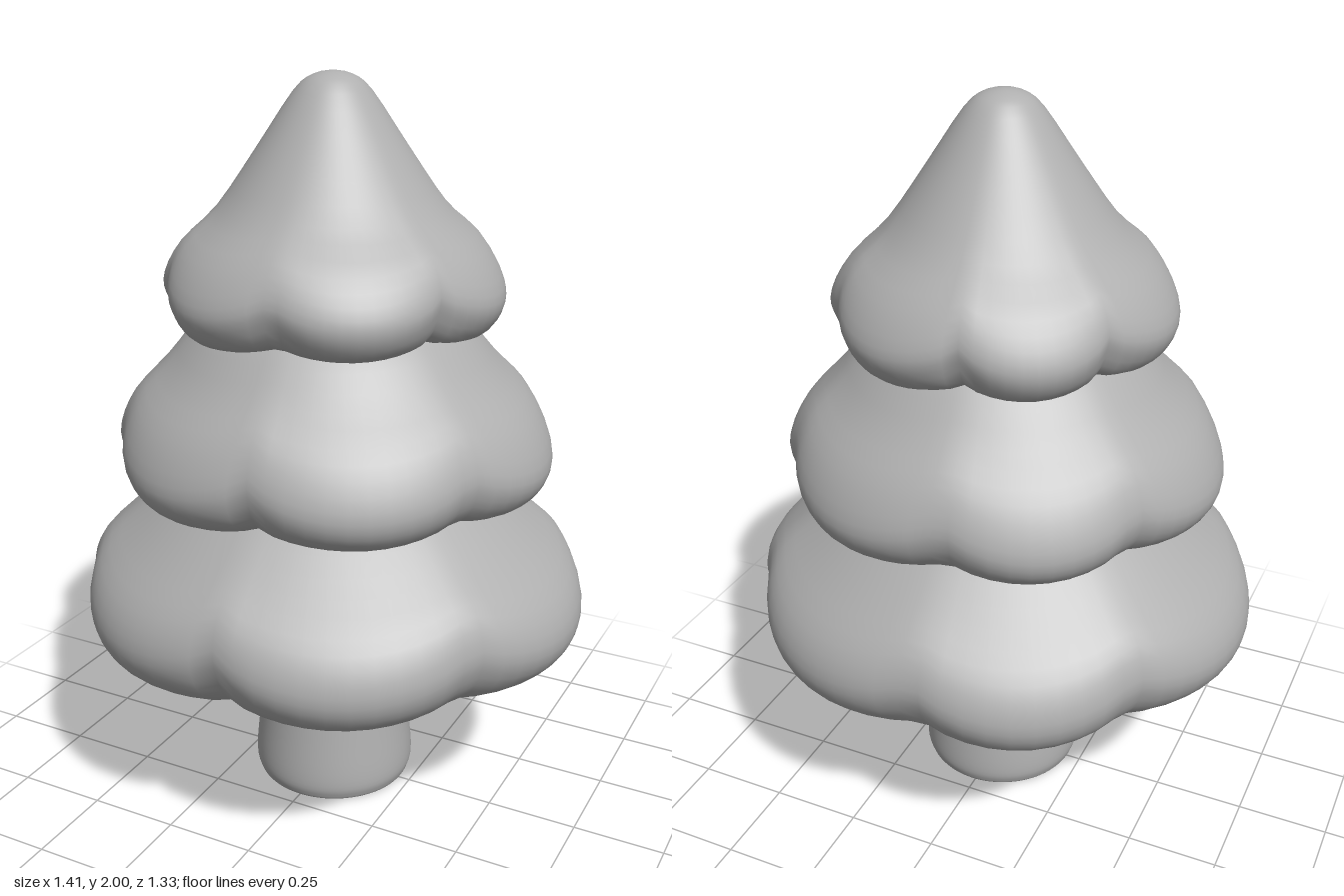
import * as THREE from 'three';
import { mergeVertices } from 'three/addons/utils/BufferGeometryUtils.js';

const grey = new THREE.MeshStandardMaterial({ color: 0xb0b0b0 });
grey.name = 'plainGrey';

// Directions (degrees from +x towards +z) where two snowy lobes meet
const cusps = [-143, -93, -32, 32, 90, 148, 217];

// 0 at a crease between lobes, 1 in the middle of a lobe
function lobe(deg) {
  while (deg < cusps[0]) deg += 360;
  while (deg >= cusps[0] + 360) deg -= 360;
  const i = cusps.findIndex((c, k) => deg >= c && deg < cusps[k + 1]);
  const u = (deg - cusps[i]) / (cusps[i + 1] - cusps[i]);
  return Math.pow(Math.max(0, Math.sin(Math.PI * u)), 0.7);
}

// Smooth lathe from a bottom-to-top profile, with a rule that moves each vertex
function turned(name, points, rule) {
  const curve = new THREE.SplineCurve(points.map(([r, y]) => new THREE.Vector2(r, y)));
  const profile = curve.getPoints(36);
  profile.forEach((p) => { p.x = Math.max(0, p.x); });
  let geometry = new THREE.LatheGeometry(profile, 72);
  geometry.deleteAttribute('uv');
  geometry.deleteAttribute('normal');
  geometry = mergeVertices(geometry, 1e-5);
  const pos = geometry.attributes.position;
  const v = new THREE.Vector3();
  for (let i = 0; i < pos.count; i++) {
    rule(v.fromBufferAttribute(pos, i));
    pos.setXYZ(i, v.x, v.y, v.z);
  }
  geometry.computeVertexNormals();
  const mesh = new THREE.Mesh(geometry, grey);
  mesh.name = name;
  return mesh;
}

// One layer of branches: the rim is pinched in and lifted at each crease
function tier(name, points, { rim, turn, lift, pinch, depth }) {
  return turned(name, points, (v) => {
    const r = Math.hypot(v.x, v.z);
    const weight = Math.pow(Math.min(1, r / rim), 4);
    const gap = 1 - lobe(THREE.MathUtils.radToDeg(Math.atan2(v.z, v.x)) - turn);
    const scale = 1 - pinch * gap * weight;
    v.set(v.x * scale, v.y + lift * gap * weight, v.z * scale * depth);
  });
}

export function createModel() {
  const tree = new THREE.Group();
  tree.name = 'tree';

  // Trunk, slightly flared at the foot
  const trunk = turned('trunk', [
    [0, 0], [0.1, 0], [0.2, 0.002], [0.222, 0.02], [0.228, 0.07], [0.215, 0.2],
    [0.2, 0.35], [0.193, 0.48], [0.19, 0.6],
  ], (v) => { v.x += 0.005 * (1 - v.y); v.y = Math.max(0, v.y); });

  // Three layers of branches
  const lower = tier('lowerBranches', [
    [0, 0.53], [0.2, 0.52], [0.36, 0.495], [0.5, 0.46], [0.6, 0.465], [0.68, 0.52],
    [0.708, 0.6], [0.67, 0.7], [0.56, 0.81], [0.42, 0.94], [0.3, 1.04], [0, 1.08],
  ], { rim: 0.7, turn: 0, lift: 0.07, pinch: 0.06, depth: 0.97 });

  const middle = tier('middleBranches', [
    [0, 1.02], [0.25, 1.01], [0.38, 0.97], [0.46, 0.922], [0.53, 0.918], [0.585, 0.96],
    [0.6, 1.03], [0.55, 1.14], [0.45, 1.25], [0.34, 1.38], [0.2, 1.46], [0, 1.48],
  ], { rim: 0.6, turn: -5, lift: 0.065, pinch: 0.06, depth: 0.97 });

  const upper = tier('upperBranches', [
    [0, 1.45], [0.18, 1.44], [0.29, 1.4], [0.35, 1.358], [0.41, 1.36], [0.45, 1.41],
    [0.452, 1.47], [0.4, 1.56], [0.3, 1.66], [0.195, 1.81], [0.1, 1.95], [0.05, 1.99], [0, 2],
  ], { rim: 0.45, turn: -7, lift: 0.055, pinch: 0.07, depth: 1.01 });

  tree.add(trunk, lower, middle, upper);
  return tree;
}
